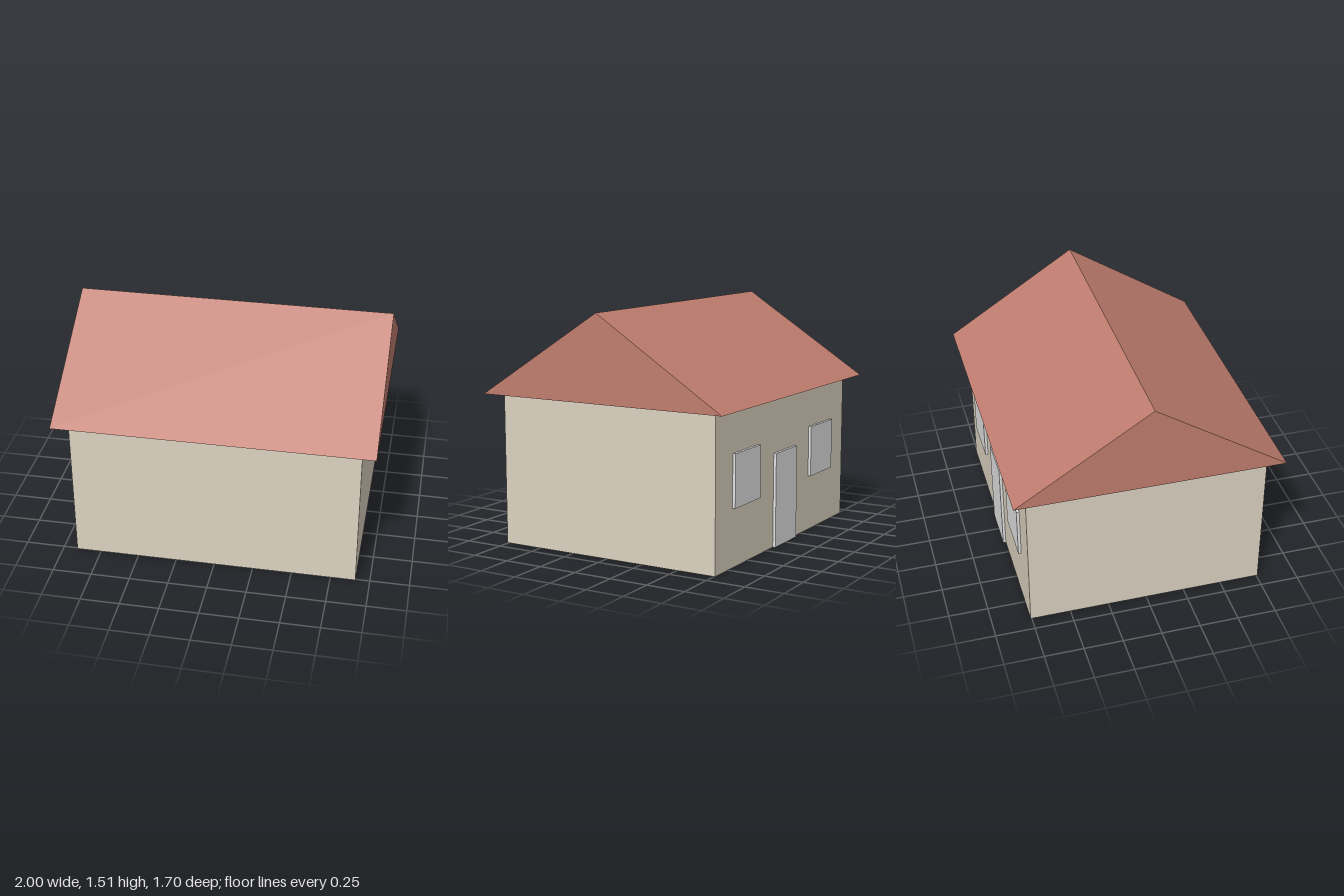
import * as THREE from 'three';

const material = (name, color) => {
  const m = new THREE.MeshStandardMaterial({ color });
  m.name = name;
  return m;
};

export function createModel() {
  const house = new THREE.Group();
  house.name = 'house';

  const wallPaint = material('beige wall', 0xdcd3c1);
  const roofTile = material('terracotta roof', 0xc07d6f);
  const panelGrey = material('light grey panel', 0xe3e3e3);

  const wallHeight = 0.97;
  const wallDepth = 1.515;

  const add = (name, geometry, mat, x, y, z) => {
    const mesh = new THREE.Mesh(geometry, mat);
    mesh.name = name;
    mesh.position.set(x, y, z);
    house.add(mesh);
  };

  // Walls and floor
  add('walls', new THREE.BoxGeometry(1.818, wallHeight, wallDepth), wallPaint, 0, wallHeight / 2, 0);

  // Solid gable roof with overhanging eaves, ridge along x
  const gable = new THREE.Shape([
    new THREE.Vector2(-0.848, 0),
    new THREE.Vector2(0.848, 0),
    new THREE.Vector2(0, 0.545),
  ]);
  const roof = new THREE.ExtrudeGeometry(gable, { depth: 2, bevelEnabled: false });
  roof.translate(0, 0, -1).rotateY(Math.PI / 2);
  add('roof', roof, roofTile, 0, wallHeight, 0);

  // Raised door and windows on the back wall
  const thickness = 0.018;
  const panelZ = -wallDepth / 2 - thickness / 2;
  add('door', new THREE.BoxGeometry(0.303, 0.606, thickness), panelGrey, 0, 0.303, panelZ);
  for (const [name, side] of [['leftWindow', 1], ['rightWindow', -1]]) {
    add(name, new THREE.BoxGeometry(0.333, 0.333, thickness), panelGrey, side * 0.53, 0.531, panelZ);
  }

  return house;
}
